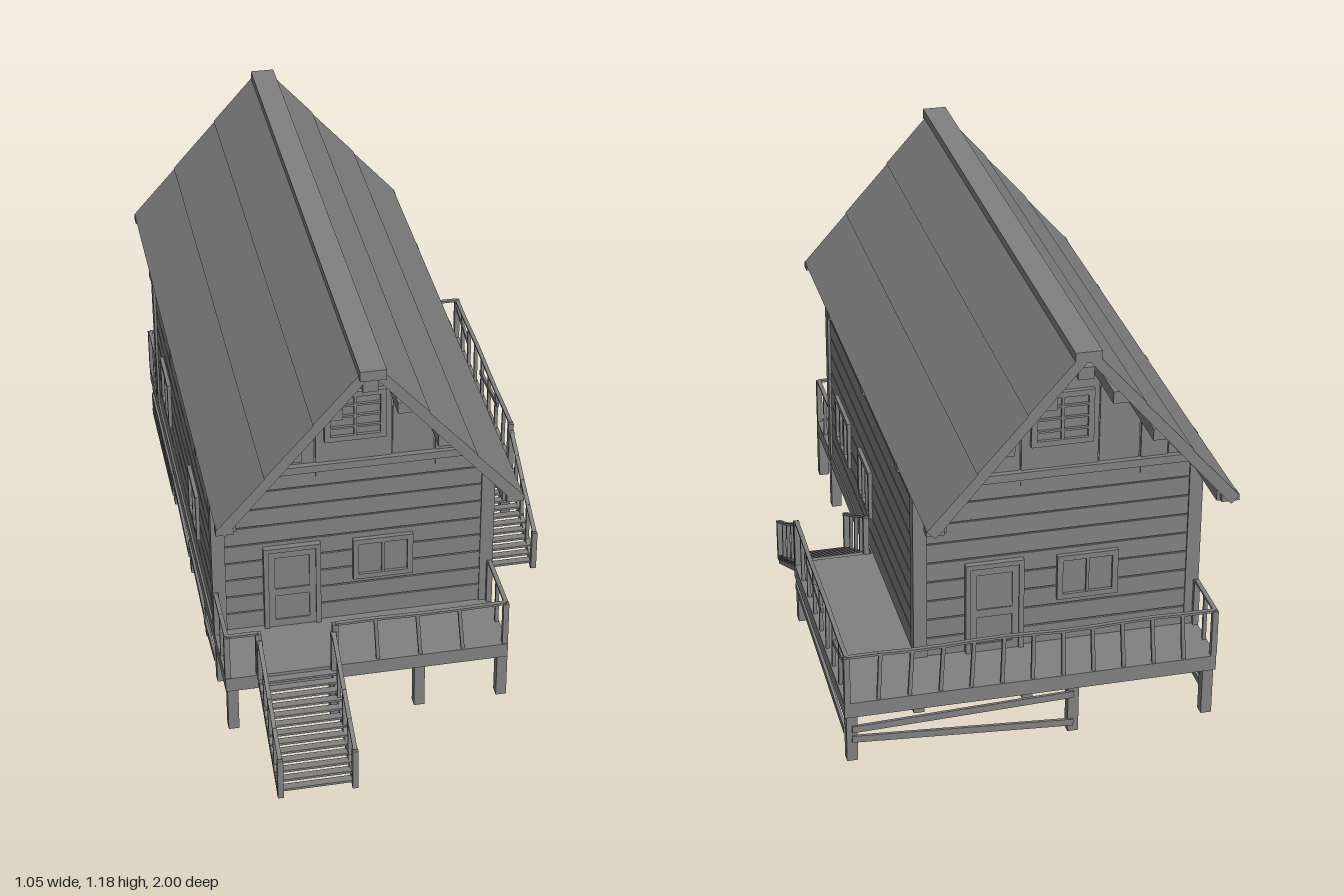
import * as THREE from 'three';

const CX = -0.108;            // house centre line
const ZF = 0.46, ZB = -0.745; // wall planes, front and back
const DECK = 0.185, SLOPE = 1.18;

export function createModel() {
  const model = new THREE.Group();
  const mat = new THREE.MeshStandardMaterial({ color: 0x808080, flatShading: true });
  const wobble = (i) => Math.sin(i * 12.9898 + 1.7) * 0.5;

  const group = (name, parent = model) => {
    const g = new THREE.Group();
    g.name = name;
    parent.add(g);
    return g;
  };
  const mesh = (name, geo, parent) => {
    const m = new THREE.Mesh(geo, mat);
    m.name = name;
    parent.add(m);
    return m;
  };
  // Box from its limits
  const box = (name, parent, x0, x1, y0, y1, z0, z1) => {
    const m = mesh(name, new THREE.BoxGeometry(x1 - x0, y1 - y0, z1 - z0), parent);
    m.position.set((x0 + x1) / 2, (y0 + y1) / 2, (z0 + z1) / 2);
  };
  // Square bar between two points
  const beam = (name, parent, a, b, w, h = w) => {
    const p = new THREE.Vector3(...a), q = new THREE.Vector3(...b);
    const m = mesh(name, new THREE.BoxGeometry(w, h, p.distanceTo(q)), parent);
    m.position.copy(p).add(q).multiplyScalar(0.5);
    m.lookAt(q);
  };
  // Outline in x-y, extruded along z
  const slab = (name, parent, pts, z0, z1) => {
    const shape = new THREE.Shape(pts.map((p) => new THREE.Vector2(...p)));
    const geo = new THREE.ExtrudeGeometry(shape, { depth: z1 - z0, bevelEnabled: false });
    mesh(name, geo, parent).position.set(CX, 0, z0);
  };

  // House body and horizontal wall planks
  const house = group('house');
  slab('wallCore', house, [[-0.39, 0.16], [0.39, 0.16], [0.39, 0.69], [0, 1.14], [-0.39, 0.69]], ZB, ZF);
  const rows = 9, step = (0.71 - DECK) / rows;
  for (let i = 0; i < rows; i++) {
    const y0 = DECK + i * step, y1 = y0 + step - 0.004;
    const o = 0.005 + 0.002 * wobble(i);
    box('sidePlank', house, CX - 0.39 - o, CX + 0.39 + o, y0, y1, ZB + 0.01, ZF - 0.01);
    box('endPlank', house, CX - 0.38, CX + 0.38, y0, y1, ZB - o, ZF + o);
  }
  for (const s of [-1, 1]) for (const z of [ZB + 0.008, ZF - 0.008])
    box('cornerPost', house, CX + s * 0.383 - 0.019, CX + s * 0.383 + 0.019, DECK - 0.02, 0.72, z - 0.018, z + 0.018);

  // Vertical gable boards, cut to the roof slope
  const edges = [-0.39, -0.3, -0.222, -0.107, 0.108, 0.228, 0.31, 0.39];
  const top = (x) => Math.max(1.15 - Math.abs(x) * SLOPE, 0.692);
  for (let i = 0; i < edges.length - 1; i++) {
    const a = edges[i] + 0.002, b = edges[i + 1] - 0.002, o = 0.004 + 0.003 * (i % 2);
    const peak = a < 0 && b > 0 ? [[0, top(0)]] : [];
    slab('gableBoard', house, [[a, 0.68], [b, 0.68], [b, top(b)], ...peak, [a, top(a)]], ZB - o, ZF + o);
  }
  for (const [z, d] of [[ZF, 1], [ZB, -1]]) {
    const zc = z + d * 0.008;
    box('gableBeam', house, CX - 0.4, CX + 0.4, 0.705, 0.728, zc - 0.012, zc + 0.012);
    for (const s of [-1, 1])
      beam('gableRafter', house, [CX + s * 0.385, 0.69, zc], [CX, 1.14, zc], 0.02, 0.03);
  }

  // Roof: three slightly overlapping panels on each slope
  const roof = group('roof');
  const panels = 3, half = [];
  for (let i = 0; i < panels; i++) {
    const at = (t, o) => [0.415 - 0.393 * t + 0.763 * o, 0.718 + 0.456 * t + 0.646 * o];
    half.push(at(i / panels, 0.004), at((i + 1) / panels, 0.001));
  }
  const mirrored = half.map(([x, y]) => [-x, y]).reverse();
  slab('roofPanels', roof, [...half, ...mirrored, [-0.395, 0.698], [0, 1.16], [0.395, 0.698]], -1, 0.715);
  box('ridgeCap', roof, CX - 0.035, CX + 0.035, 1.155, 1.185, -1, 0.735);
  for (const [x, y] of [[0, 1.115], [0.094, 1.037], [0.204, 0.918], [0.383, 0.718]])
    for (const s of x ? [-1, 1] : [1])
      box('purlin', roof, CX + s * x - 0.021, CX + s * x + 0.021, y - 0.017, y + 0.017, -0.98, 0.7);
  for (const z of [0.7, 0.33, -0.17, -0.63, -0.98])
    for (const s of [-1, 1])
      box('rafterTail', roof, CX + s * 0.395 - 0.024, CX + s * 0.395 + 0.024, 0.704, 0.722, z - 0.015, z + 0.015);

  // Windows and doors, made facing +z then turned to their wall
  const place = (g, x, y, z, turn) => {
    g.position.set(x, y, z);
    g.rotation.y = turn;
  };
  const addWindow = (name, w, h, cols, nRows, ...where) => {
    const g = group(name, house);
    const t = 0.008;
    box('pane', g, -w / 2, w / 2, -h / 2, h / 2, -0.005, 0.009);
    for (const s of [-1, 1]) {
      box('frameSide', g, s * w / 2 - t, s * w / 2 + t, -h / 2 - t, h / 2 + t, 0, 0.018);
      box('frameRail', g, -w / 2, w / 2, s * h / 2 - t, s * h / 2 + t, 0, 0.018);
    }
    for (let i = 1; i < cols; i++) box('mullion', g, -w / 2 + w * i / cols - 0.004, -w / 2 + w * i / cols + 0.004, -h / 2, h / 2, 0, 0.017);
    for (let i = 1; i < nRows; i++) box('glazingBar', g, -w / 2, w / 2, -h / 2 + h * i / nRows - 0.003, -h / 2 + h * i / nRows + 0.003, 0, 0.017);
    place(g, ...where);
  };
  const addDoor = (name, ...where) => {
    const g = group(name, house);
    box('leaf', g, -0.07, 0.07, 0, 0.262, -0.005, 0.01);
    for (const s of [-1, 1]) {
      box('jamb', g, s * 0.074 - 0.007, s * 0.074 + 0.007, 0, 0.275, 0, 0.019);
      box('stile', g, s * 0.058 - 0.009, s * 0.058 + 0.009, 0, 0.262, 0, 0.014);
    }
    for (const y of [0.012, 0.12, 0.252]) box('doorRail', g, -0.067, 0.067, y - 0.012, y + 0.012, 0, 0.014);
    box('lintel', g, -0.081, 0.081, 0.262, 0.276, 0, 0.019);
    place(g, ...where);
  };
  addDoor('frontDoor', -0.285, DECK, ZF + 0.003, 0);
  addDoor('backDoor', 0.07, DECK, ZB - 0.003, Math.PI);
  addWindow('frontWindow', 0.155, 0.12, 2, 1, -0.025, 0.387, ZF, 0);
  addWindow('backWindow', 0.155, 0.12, 2, 1, -0.19, 0.387, ZB, Math.PI);
  addWindow('frontGableWindow', 0.155, 0.14, 2, 4, CX + 0.003, 0.877, ZF + 0.003, 0);
  addWindow('backGableWindow', 0.155, 0.14, 2, 4, CX - 0.003, 0.877, ZB - 0.003, Math.PI);
  for (const z of [0.225, -0.1]) addWindow('leftWindow', z > 0 ? 0.18 : 0.145, 0.135, 3, 1, CX + 0.388, 0.375, z, Math.PI / 2);
  for (const z of [-0.49, 0.1]) addWindow('rightWindow', 0.15, 0.135, 2, 1, CX - 0.388, 0.375, z, -Math.PI / 2);

  // Deck under the house, wrapping round the left side and back
  const deck = group('deck');
  box('mainDeck', deck, -0.51, 0.292, 0.14, DECK, -0.93, 0.68);
  box('sideDeck', deck, 0.292, 0.52, 0.14, DECK, -0.93, -0.18);

  // Stilts
  const stilts = group('stilts');
  const posts = [
    ...[0.66, 0.45, 0.24, -0.07, -0.43, -0.91].map((z) => [-0.49, z]),
    ...[0.66, 0.45, -0.185, -0.73].map((z) => [0.278, z]),
    [0.04, 0.66], [-0.2, 0.66], [-0.11, 0.45], [-0.2, 0.11], [-0.03, -0.085],
    [-0.11, -0.43], [-0.03, -0.73], [-0.11, -0.91], [0.5, -0.91], [0.5, -0.19],
  ];
  for (const [x, z] of posts) box('stilt', stilts, x - 0.015, x + 0.015, 0, 0.145, z - 0.015, z + 0.015);

  // Crooked braces between stilts
  const braces = [
    [[0.278, 0.1, 0.468], [-0.11, 0.12, 0.468]], [[0.278, 0.07, 0.468], [-0.11, 0.045, 0.468]],
    [[-0.11, 0.1, 0.45], [-0.2, 0.125, 0.11]], [[-0.11, 0.06, 0.45], [-0.2, 0.085, 0.11]],
    [[0.5, 0.1, -0.926], [-0.11, 0.12, -0.926]], [[0.5, 0.07, -0.926], [-0.11, 0.03, -0.926]],
    [[-0.506, 0.09, -0.91], [-0.506, 0.09, -0.43]], [[-0.506, 0.065, -0.91], [-0.506, 0.06, -0.43]], [[-0.506, 0.03, -0.91], [-0.506, 0.035, -0.43]],
    [[-0.506, 0.1, -0.43], [-0.506, 0.06, -0.07]], [[-0.506, 0.1, -0.07], [-0.506, 0.07, 0.24]], [[-0.506, 0.05, 0.24], [-0.506, 0.075, 0.45]],
    [[0.516, 0.115, -0.19], [0.516, 0.09, -0.91]],
  ];
  for (const [a, b] of braces) beam('brace', stilts, a, b, 0.008, 0.02);

  // Railing along a foot line: end posts, leaning balusters, handrail in uneven lengths
  const railing = (name, a, b, n, h = 0.14) => {
    const g = group(name);
    const at = (t, y) => [0, 1, 2].map((k) => a[k] + (b[k] - a[k]) * t + (k === 1 ? y : 0));
    const sag = (k) => h + (k === 0 || k === n ? 0 : 0.006 * wobble(k * 3));
    for (let i = 0; i <= n; i++) {
      const end = i === 0 || i === n, lean = end ? 0 : 0.2 * wobble(i + n) / n;
      beam(end ? 'railPost' : 'baluster', g, at(i / n, 0), at(i / n + lean, h), end ? 0.016 : 0.01);
      if (i < n) beam('handrail', g, at(i / n, sag(i)), at((i + 1) / n, sag(i + 1)), 0.012, 0.007);
    }
  };
  railing('frontRailing', [-0.2, DECK, 0.67], [0.284, DECK, 0.67], 4);
  railing('frontCornerRailing', [-0.503, DECK, 0.67], [-0.415, DECK, 0.67], 1);
  railing('frontLeftRailing', [0.284, DECK, 0.67], [0.284, DECK, 0.475], 2);
  railing('frontRightRailing', [-0.503, DECK, 0.67], [-0.503, DECK, 0.475], 2);
  railing('sideRailing', [0.511, DECK, -0.19], [0.511, DECK, -0.92], 8);
  railing('backRailing', [0.511, DECK, -0.922], [-0.503, DECK, -0.922], 12);
  railing('backRightRailing', [-0.503, DECK, -0.922], [-0.503, DECK, -0.76], 2);
  beam('slantedRail', model, [0.511, 0.285, -0.35], [0.511, 0.262, -0.58], 0.008, 0.014);
  beam('slantedRail', model, [0.511, 0.265, -0.75], [0.511, 0.3, -0.92], 0.008, 0.014);

  // Stairs running down toward the front
  const stairs = (name, x0, x1, zTop) => {
    const g = group(name), n = 13, run = 0.315;
    for (const x of [x0 + 0.007, x1 - 0.007]) {
      beam('stringer', g, [x, 0.168, zTop], [x, 0.016, zTop + run - 0.005], 0.012, 0.026);
      railing(name + 'Railing', [x, DECK - 0.01, zTop + 0.005], [x, 0.015, zTop + run - 0.003], 4, 0.13);
    }
    for (let i = 0; i < n; i++) {
      const y = 0.174 - i * 0.012, z = zTop + 0.014 + i * 0.0235;
      box('tread', g, x0, x1, y - 0.0035, y + 0.0035, z - 0.011, z + 0.011);
    }
  };
  stairs('frontStairs', -0.42, -0.2, 0.68);
  stairs('sideStairs', 0.3, 0.517, -0.18);

  return model;
}
